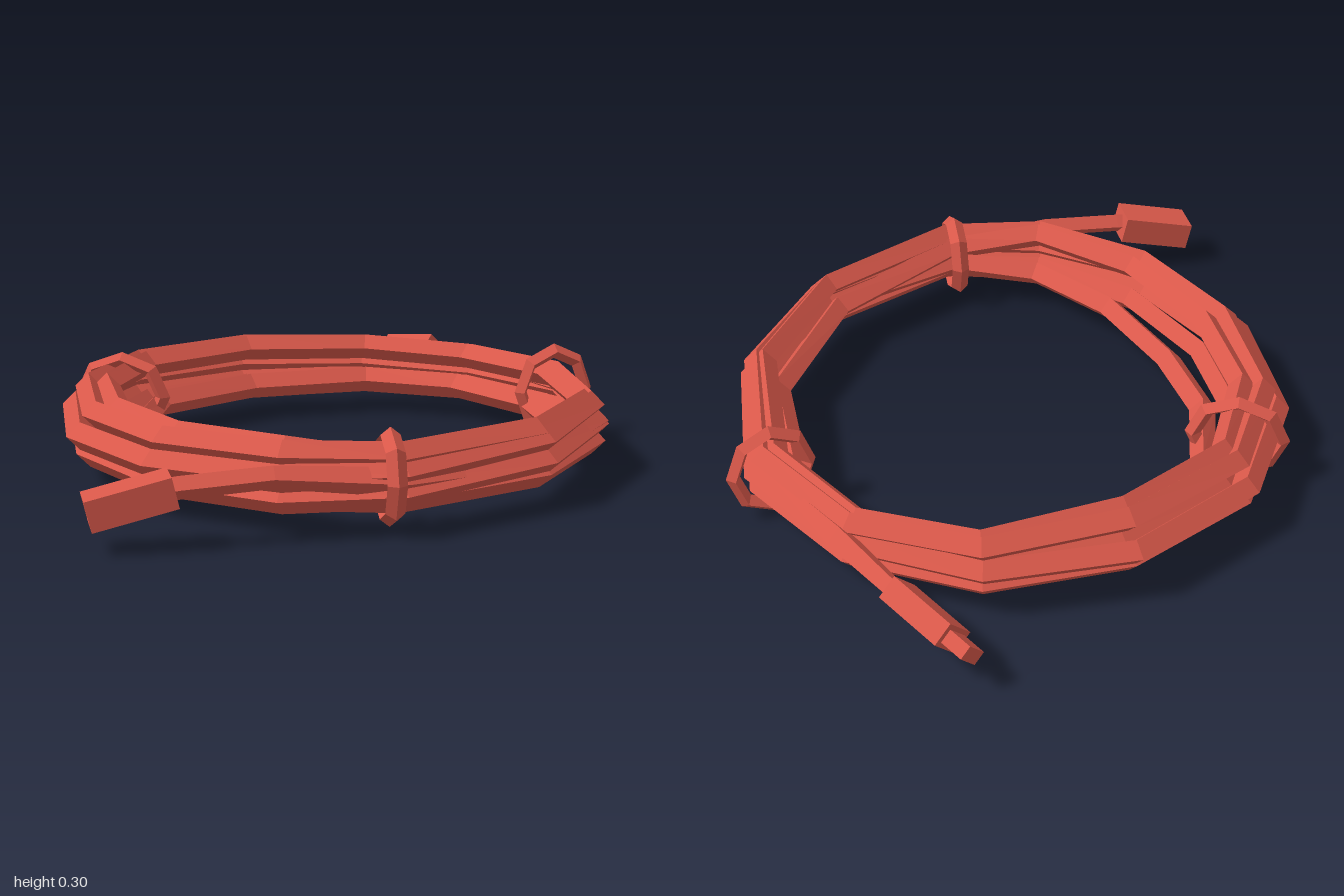
import * as THREE from 'three';

// Sweep a diamond section along a polyline; the loose ends are slimmer
function sweep(points, radius, endRadius, sides = 4) {
  const up = new THREE.Vector3(0, 1, 0), pos = [], idx = [];
  points.forEach((p, i) => {
    const a = points[Math.max(i - 1, 0)], b = points[Math.min(i + 1, points.length - 1)];
    const t = b.clone().sub(a).normalize();
    const side = t.clone().cross(up).normalize();
    const top = side.clone().cross(t);
    const r = i < 3 || i > points.length - 3 ? endRadius : radius;
    for (let j = 0; j < sides; j++) {
      const ang = Math.PI / 2 + j / sides * Math.PI * 2;
      const v = p.clone().addScaledVector(side, Math.cos(ang) * r).addScaledVector(top, Math.sin(ang) * r);
      pos.push(v.x, v.y, v.z);
      if (i === 0) continue;
      const k = (j + 1) % sides, r0 = (i - 1) * sides, r1 = i * sides;
      idx.push(r0 + j, r1 + j, r0 + k, r0 + k, r1 + j, r1 + k);
    }
  });
  const g = new THREE.BufferGeometry();
  g.setAttribute('position', new THREE.Float32BufferAttribute(pos, 3));
  g.setIndex(idx);
  const flat = g.toNonIndexed();
  flat.computeVertexNormals();
  return flat;
}

// Coil stations: outer x, z and inner x, z of the bundle, spread power, height factor
const STATIONS = [
  [-0.16, 0.91, -0.15, 0.81, 1, 1], [0.35, 0.805, 0.30, 0.73, 1, 1], [0.71, 0.50, 0.655, 0.45, 1, 0.95],
  [0.905, 0.02, 0.795, 0.0, 1, 0.9], [0.815, -0.39, 0.735, -0.37, 1, 0.88], [0.55, -0.70, 0.515, -0.61, 0.7, 0.95],
  [0.145, -0.833, 0.11, -0.66, 0.6, 1.08], [-0.285, -0.735, -0.27, -0.53, 0.85, 1.04], [-0.59, -0.435, -0.43, -0.28, 1, 1],
  [-0.737, 0, -0.485, 0, 1, 0.97], [-0.685, 0.42, -0.485, 0.36, 1, 1], [-0.45, 0.755, -0.385, 0.67, 1, 1.05],
];
// Each turn: position across the bundle (0 outer, 1 inner) and height
const BASE = 0.1;
const TURNS = [[0.5, BASE], [0.12, BASE], [0, 0.155], [0.2, 0.215], [0.48, 0.22], [1, 0.11]];

function cablePath() {
  const v = (x, y, z) => new THREE.Vector3(x, y, z);
  const lerp = THREE.MathUtils.lerp;
  const pts = [v(-0.78, 0.16, 0.74), v(-0.74, 0.165, 0.75), v(-0.5, 0.182, 0.815)];
  const addTurn = (from, to, count) => {
    STATIONS.slice(0, count).forEach(([ox, oz, ix, iz, spread, rise], k) => {
      const f = Math.min(1, (k + 1) / 3);
      const u = Math.pow(lerp(from[0], to[0], f), spread);
      const y = BASE + (lerp(from[1], to[1], f) - BASE) * rise;
      pts.push(v(lerp(ox, ix, u), y, lerp(oz, iz, u)));
    });
  };
  const START = [0, 0.175], END = [0.02, 0.165];
  TURNS.forEach((turn, i) => addTurn(i ? TURNS[i - 1] : START, turn, 12));
  addTurn(TURNS[TURNS.length - 1], END, 4);
  pts.push(v(0.84, 0.175, -0.40), v(0.805, 0.167, -0.64), v(0.795, 0.165, -0.69));
  return pts;
}

export function createModel() {
  const model = new THREE.Group();
  const red = new THREE.MeshStandardMaterial({ color: 0xd9584a, flatShading: true });
  red.name = 'coral red';
  const add = (parent, name, geo) => {
    const m = new THREE.Mesh(geo, red);
    m.name = name;
    parent.add(m);
    return m;
  };

  // Coiled cable
  add(model, 'coiledCable', sweep(cablePath(), 0.041, 0.032));

  // Ties around the bundle: x, z, turn about y, half width, half height
  for (const [x, z, turn, w, h] of [
    [0.862, 0.022, -0.08, 0.137, 0.15],
    [-0.17, 0.848, 1.28, 0.124, 0.138],
    [-0.408, -0.5, -0.7, 0.157, 0.138],
  ]) {
    const tie = add(model, 'tie', new THREE.TorusGeometry(0.118, 0.022, 4, 8));
    tie.scale.set(w / 0.14, h / 0.14, 1.25);
    tie.rotation.y = turn;
    tie.position.set(x, 0.155, z);
  }

  // Connector group placed at the cable end with +z pointing outward
  const connector = (name, from, to, roll) => {
    const g = new THREE.Group();
    g.name = name;
    g.position.set(...from);
    g.lookAt(...to);
    g.rotateZ(roll);
    model.add(g);
    return g;
  };
  const rect = (C, w, h) => new C([[-w, -h], [w, -h], [w, h], [-w, h]].map(([x, y]) => new THREE.Vector2(x / 2, y / 2)));

  // Socket end: hollow sleeve with a solid back
  const socket = connector('socket', [-0.755, 0.165, 0.745], [-0.985, 0.107, 0.68], 0);
  const sleeve = rect(THREE.Shape, 0.12, 0.086);
  sleeve.holes.push(rect(THREE.Path, 0.09, 0.055));
  add(socket, 'socketSleeve', new THREE.ExtrudeGeometry(sleeve, { depth: 0.09, bevelEnabled: false }).translate(0, 0, 0.145));
  add(socket, 'socketBody', new THREE.BoxGeometry(0.12, 0.086, 0.145).translate(0, 0, 0.0725));

  // Plug end: body with a smaller tip
  const plug = connector('plug', [0.798, 0.165, -0.67], [0.743, 0.135, -0.885], -0.8);
  add(plug, 'plugBody', new THREE.BoxGeometry(0.112, 0.07, 0.225).translate(0, 0, 0.113));
  add(plug, 'plugTip', new THREE.BoxGeometry(0.078, 0.042, 0.09).translate(0, 0, 0.258));

  return model;
}
